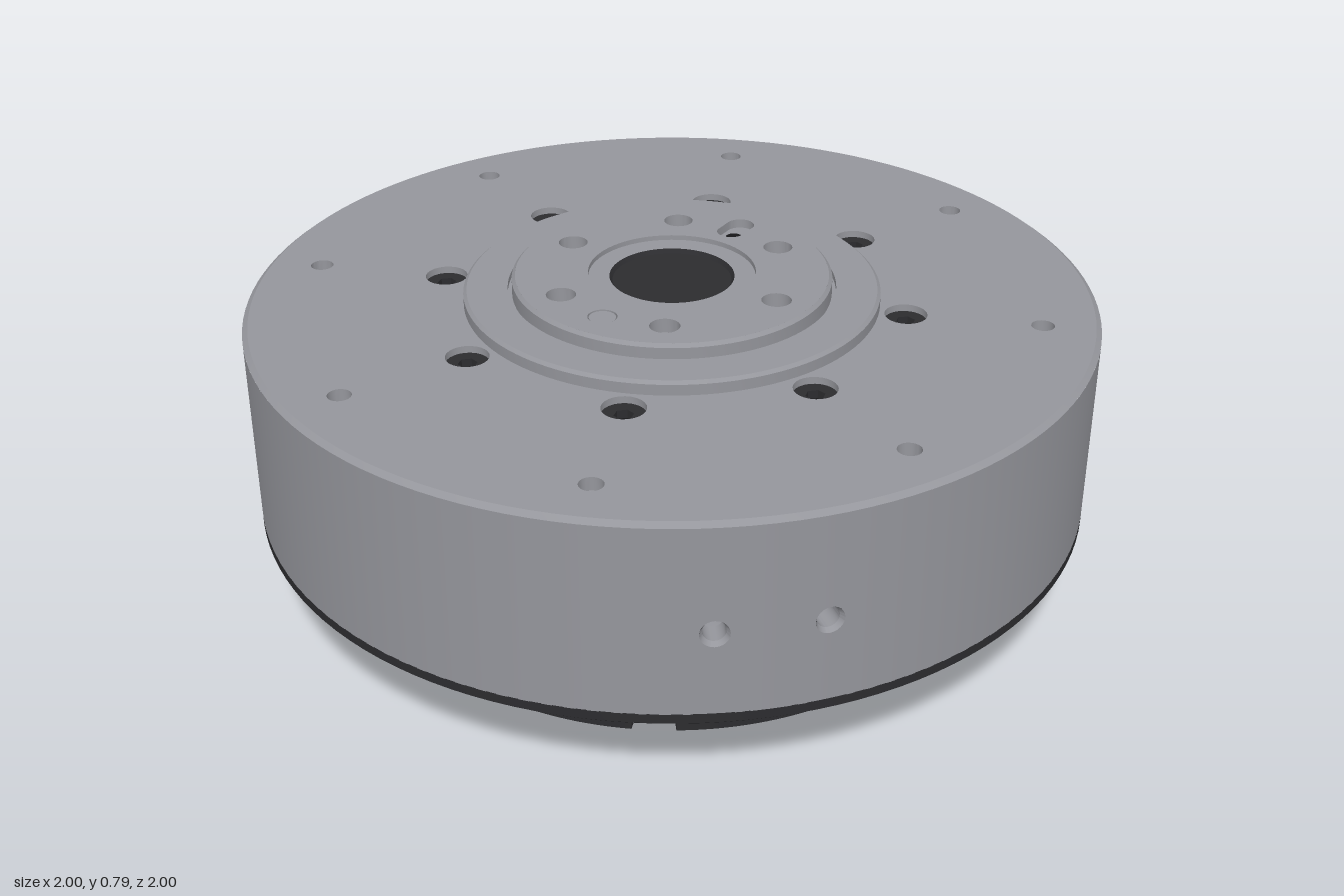
import * as THREE from 'three';
import { toCreasedNormals } from 'three/addons/utils/BufferGeometryUtils.js';

const metal = new THREE.MeshStandardMaterial({ color: 0x95969c });
const dark = new THREE.MeshStandardMaterial({ color: 0x2c2c2f });
const black = new THREE.MeshStandardMaterial({ color: 0x161618 });
const plastic = new THREE.MeshStandardMaterial({ color: 0xa4a5a8 });
const DEG = Math.PI / 180;

// Plan position at a radius and an angle (degrees from +z towards +x); a plan shape's y is -z.
const polar = (r, deg) => new THREE.Vector2(r * Math.sin(deg * DEG), -r * Math.cos(deg * DEG));

function circle(r, c = new THREE.Vector2(), n = 24) {
  const pts = [];
  for (let i = 0; i < n; i++) {
    const a = (i / n) * Math.PI * 2;
    pts.push(new THREE.Vector2(c.x + r * Math.cos(a), c.y + r * Math.sin(a)));
  }
  return pts;
}

function shapeOf(outline, holes = []) {
  const s = new THREE.Shape(outline);
  s.holes = holes.map((h) => new THREE.Path(h));
  return s;
}

function add(parent, name, geo, mat) {
  const m = new THREE.Mesh(geo, mat);
  m.name = name;
  parent.add(m);
  return m;
}

const extrude = (shape, depth) =>
  toCreasedNormals(new THREE.ExtrudeGeometry(shape, { depth, bevelEnabled: false }), 0.5);

// Plan shape extruded upwards from y0 to y1.
const slab = (shape, y0, y1) => extrude(shape, y1 - y0).rotateX(-Math.PI / 2).translate(0, y0, 0);

const lathe = (pts, n = 128) =>
  toCreasedNormals(new THREE.LatheGeometry(pts.map((p) => new THREE.Vector2(...p)), n), 0.4);

// Socket head screw whose top is at local y = 0.
function screw(parent, name, r, pos, flip = false) {
  const g = new THREE.Group();
  g.name = name;
  add(g, 'screwHead', slab(shapeOf(circle(r), [circle(r * 0.45, undefined, 6)]), -0.03, 0), dark);
  add(g, 'hexSocketFloor', lathe([[r * 0.6, -0.02], [0, -0.02]], 12), black);
  g.position.copy(pos);
  if (flip) g.rotation.x = Math.PI;
  parent.add(g);
}

function buildHousing(root) {
  const g = new THREE.Group();
  g.name = 'housing';
  root.add(g);
  const y0 = 0.265, y1 = 0.717, half = 0.05, holeA = 0.12;

  // Round wall, leaving two narrow strips at the front for the drilled holes
  const arcs = [[holeA + half, 2 * Math.PI - 2 * (holeA + half), 120], [-holeA + half, 2 * (holeA - half), 4]];
  for (const [start, len, n] of arcs) {
    const wall = new THREE.CylinderGeometry(1, 1, y1 - y0, n, 1, true, start, len);
    add(g, 'outerWall', wall.translate(0, (y0 + y1) / 2, 0), metal);
  }
  for (const a of [-holeA, holeA]) {
    const rect = [[-half, y0], [half, y0], [half, y1], [-half, y1]].map((p) => new THREE.Vector2(...p));
    const strip = new THREE.ShapeGeometry(shapeOf(rect, [circle(0.032, new THREE.Vector2(0, 0.465))]));
    const p = strip.attributes.position, nrm = strip.attributes.normal;
    for (let i = 0; i < p.count; i++) {
      const t = a + p.getX(i);
      p.setXYZ(i, Math.sin(t), p.getY(i), Math.cos(t));
      nrm.setXYZ(i, Math.sin(t), 0, Math.cos(t));
    }
    add(g, 'drilledWallStrip', strip, metal);
    const bore = lathe([[0.032, 0], [0.025, -0.012], [0.025, -0.06], [0, -0.07]], 24).rotateX(Math.PI / 2);
    const hole = add(g, 'sideHole', bore, metal);
    hole.position.set(Math.sin(a), 0.465, Math.cos(a));
    hole.rotation.y = a;
  }
  add(g, 'topChamfer', lathe([[1, y1], [0.987, 0.727]]), metal);

  // Top plate with screw counterbores and small threaded holes
  const holes = [];
  for (let i = 0; i < 8; i++) {
    const a = 22.5 + 45 * i, s = polar(0.552, a), t = polar(0.866, a);
    holes.push(circle(0.05, s), circle(0.027, t));
    screw(g, 'housingScrew', 0.05, new THREE.Vector3(s.x, 0.71, -s.y));
    add(g, 'threadedHoleFloor', lathe([[0.027, 0.695], [0, 0.68]], 24), metal).position.set(t.x, 0, -t.y);
  }
  add(g, 'topPlate', slab(shapeOf(circle(0.987, undefined, 128), holes), 0.69, 0.727), metal);
}

function buildOutput(root) {
  const g = new THREE.Group();
  g.name = 'outputHub';
  root.add(g);
  add(g, 'hubRing', lathe([[0.49, 0.72], [0.49, 0.753], [0.482, 0.76], [0.386, 0.76], [0.386, 0.745],
    [0.376, 0.745], [0.376, 0.782], [0.368, 0.79]]), metal);
  add(g, 'centreRecess', lathe([[0.197, 0.79], [0.197, 0.778], [0.147, 0.778]], 64), metal);
  add(g, 'centreBore', lathe([[0.147, 0.778], [0.14, 0.768], [0, 0.768]], 64), dark);

  const holes = [circle(0.197, undefined, 64)];
  for (const a of [165, 105, 225, -75, 45, -15]) {
    const c = polar(0.285, a);
    holes.push(circle(0.035, c));
    add(g, 'mountHoleFloor', lathe([[0.035, 0.755], [0, 0.737]], 24), metal).position.set(c.x, 0, -c.y);
  }
  // Dowel pin, sitting just below the face
  const pin = polar(0.285, -45);
  holes.push(circle(0.034, pin));
  add(g, 'dowelPin', slab(shapeOf(circle(0.031, pin)), 0.75, 0.788), metal);
  // Radial slot with a small dark hole in its floor
  const slot = circle(0.034).map((p) => {
    const shift = p.x >= 0 ? 0.022 : -0.022;
    return new THREE.Vector2(p.x + shift, p.y).rotateAround(new THREE.Vector2(), Math.PI / 4).add(polar(0.285, 135));
  });
  holes.push(slot);
  add(g, 'slotFloor', slab(shapeOf(slot), 0.75, 0.768), metal);
  add(g, 'slotHole', slab(shapeOf(circle(0.02, polar(0.278, 135))), 0.75, 0.7695), black);
  add(g, 'hubFace', slab(shapeOf(circle(0.368, undefined, 96), holes), 0.752, 0.79), metal);
}

function buildFlange(root) {
  const g = new THREE.Group();
  g.name = 'lowerFlange';
  root.add(g);
  add(g, 'flangeRim', lathe([[0.987, 0.232], [1, 0.243], [1, 0.266]]), dark);
  const holes = [];
  for (let i = 0; i < 8; i++) {
    holes.push(circle(0.024, polar(0.866, 22.5 + 45 * i)), circle(0.013, polar(0.92, 27 + 45 * i), 12));
  }
  add(g, 'flangePlate', slab(shapeOf(circle(0.987, undefined, 128), holes), 0.232, 0.262), dark);
  add(g, 'flangeHoleFloor', slab(shapeOf(circle(0.96, undefined, 64)), 0.258, 0.264), black);
}

const notchAngles = [45, 94, 165, 225, 285, 345];
const windowAngle = 136.5;

// Round cover outline with optional screw notches and connector window.
function coverShape(notches, window) {
  const pts = [];
  for (let d = 0; d < 360; d += 0.5) {
    let r = 0.72;
    const w = Math.abs(d - windowAngle);
    if (window && w <= 22) r = 0.56 / Math.cos(w * DEG);
    for (const n of notches ? notchAngles : []) {
      const side = 0.665 * Math.sin((d - n) * DEG);
      if (Math.abs(d - n) < 4) r = 0.665 - Math.sqrt(Math.max(0, 0.045 ** 2 - side ** 2));
    }
    pts.push(polar(r, d));
  }
  return shapeOf(pts);
}

function buildCover(root) {
  const g = new THREE.Group();
  g.name = 'rearCover';
  root.add(g);
  add(g, 'coverBottom', slab(coverShape(true, false), 0, 0.02), dark);
  add(g, 'coverNotchedBand', slab(coverShape(true, true), 0.02, 0.055), dark);
  add(g, 'coverWall', slab(coverShape(false, true), 0.055, 0.235), dark);
  for (const a of notchAngles) {
    const p = polar(0.665, a);
    screw(g, 'coverScrew', 0.036, new THREE.Vector3(p.x, 0.033, -p.y), true);
  }

  // Connectors inside the side window; local z points outwards
  const c = new THREE.Group();
  c.name = 'connectors';
  c.rotation.y = windowAngle * DEG;
  g.add(c);
  const box = (name, x0, x1, y0, y1, z0, z1, mat) =>
    add(c, name, new THREE.BoxGeometry(x1 - x0, y1 - y0, z1 - z0)
      .translate((x0 + x1) / 2, (y0 + y1) / 2, (z0 + z1) / 2), mat);
  const frame = (name, x0, x1, y0, y1, z0, z1, holes) => {
    const rect = [[x0, y0], [x1, y0], [x1, y1], [x0, y1]].map((p) => new THREE.Vector2(...p));
    add(c, name, extrude(shapeOf(rect, holes), z1 - z0).translate(0, 0, z0), plastic);
  };
  box('circuitBoard', -0.22, 0.22, 0.165, 0.18, 0.55, 0.64, black);
  box('connectorEar', -0.22, -0.17, 0.03, 0.13, 0.55, 0.62, plastic);
  const pins = [-0.105, 0.0].map((x) => new THREE.Vector2(x, 0.085));
  frame('powerConnector', -0.16, 0.055, 0.03, 0.14, 0.55, 0.655, pins.map((p) => circle(0.038, p)));
  for (const p of pins) {
    add(c, 'powerPin', extrude(shapeOf(circle(0.02, p, 16)), 0.08).translate(0, 0, 0.56), plastic);
  }
  const socket = [[0.095, 0.05], [0.19, 0.05], [0.19, 0.12], [0.165, 0.12], [0.165, 0.135], [0.12, 0.135],
    [0.12, 0.12], [0.095, 0.12]].map((p) => new THREE.Vector2(...p));
  frame('signalConnector', 0.075, 0.21, 0.03, 0.155, 0.55, 0.645, [socket]);
  for (let i = 0; i < 4; i++) {
    const x = 0.11 + i * 0.02;
    box('signalPin', x, x + 0.008, 0.08, 0.09, 0.55, 0.62, plastic);
  }
}

export function createModel() {
  const root = new THREE.Group();
  root.name = 'rotaryActuator';
  buildHousing(root);
  buildOutput(root);
  buildFlange(root);
  buildCover(root);
  return root;
}
